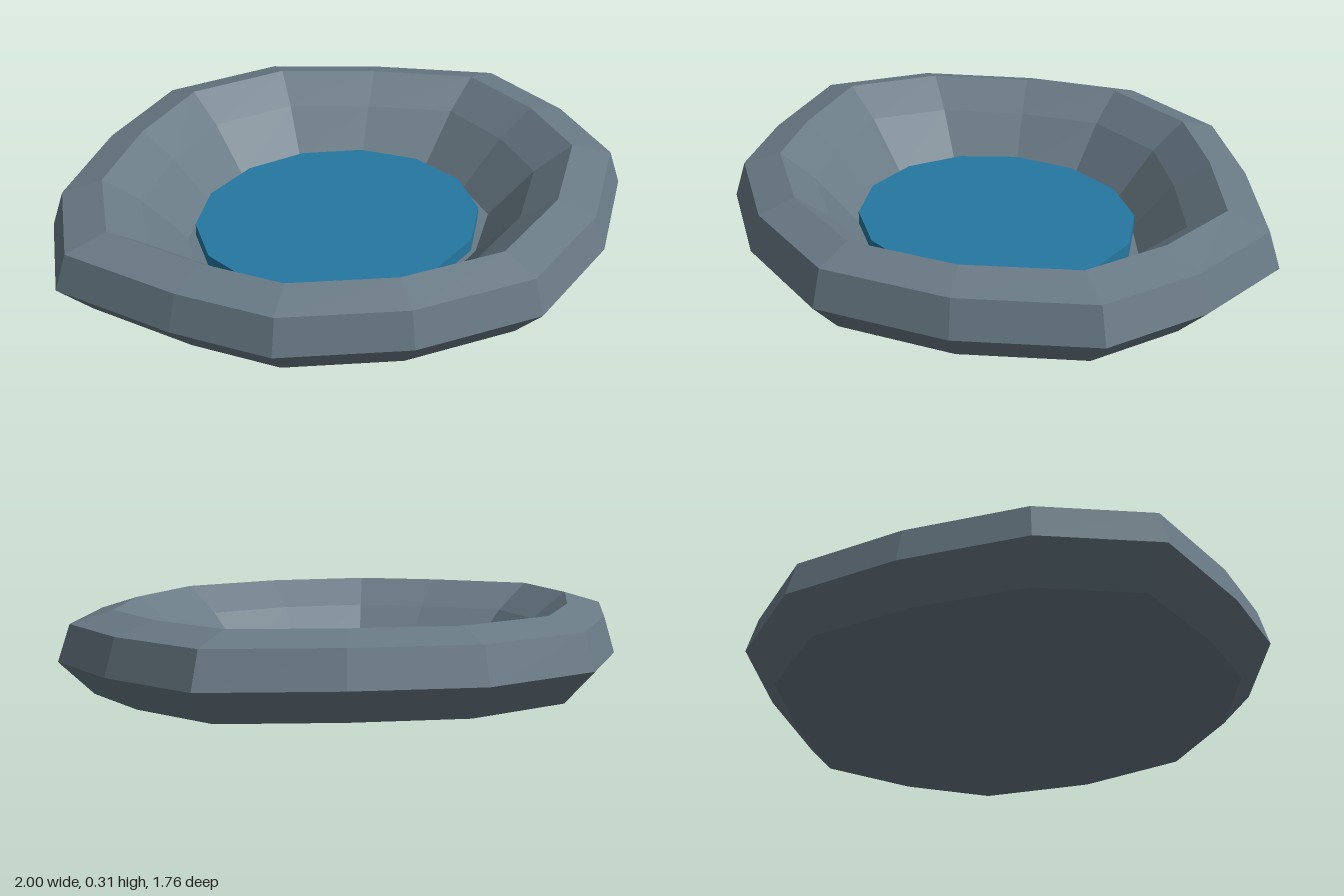
import * as THREE from 'three';

// Irregular 14-sided basin outline, [x, z] at its widest level
const OUTLINE = [
  [-1, 0], [-0.86, -0.37], [-0.55, -0.66], [-0.2, -0.88], [0.24, -0.865],
  [0.6, -0.65], [0.95, -0.38], [1, 0], [0.95, 0.36], [0.63, 0.68],
  [0.23, 0.88], [-0.2, 0.83], [-0.585, 0.65], [-0.79, 0.38],
];
const CENTRE_X = 0.02;

// Loft scaled copies of the outline: each ring is [scale, y]
function loftRings(rings) {
  const n = OUTLINE.length;
  const positions = [];
  const point = (ring, i) => {
    const [x, z] = OUTLINE[i % n];
    return [CENTRE_X + (x - CENTRE_X) * ring[0], ring[1], z * ring[0]];
  };
  for (let r = 0; r < rings.length - 1; r++) {
    const [lower, upper] = [rings[r], rings[r + 1]];
    for (let i = 0; i < n; i++) {
      const a = point(lower, i), b = point(lower, i + 1);
      const c = point(upper, i), d = point(upper, i + 1);
      if (lower[0] > 0) positions.push(...a, ...c, ...b);
      if (upper[0] > 0) positions.push(...b, ...c, ...d);
    }
  }
  const geometry = new THREE.BufferGeometry();
  geometry.setAttribute('position', new THREE.Float32BufferAttribute(positions, 3));
  geometry.computeVertexNormals();
  return geometry;
}

export function createModel() {
  const group = new THREE.Group();
  group.name = 'stonePool';

  const stone = new THREE.MeshStandardMaterial({ color: 0x697a85, flatShading: true });
  stone.name = 'blue grey stone';
  const blue = new THREE.MeshStandardMaterial({ color: 0x2677a0, flatShading: true });
  blue.name = 'water blue';

  // Basin: underside, outer wall, rim, stepped inner wall, floor
  const basin = new THREE.Mesh(loftRings([
    [0, 0], [0.535, 0], [0.885, 0.04], [1, 0.15], [0.96, 0.27],
    [0.82, 0.31], [0.69, 0.22], [0.535, 0.06], [0, 0.06],
  ]), stone);
  basin.name = 'basin';
  group.add(basin);

  // Water: shallow disc resting on the floor
  const water = new THREE.Mesh(
    new THREE.CylinderGeometry(1, 1, 0.045, 14, 1, false, Math.PI / 2), blue);
  water.name = 'water';
  water.scale.set(0.495, 1, 0.453);
  water.position.set(0.025, 0.0825, 0);
  group.add(water);

  return group;
}
